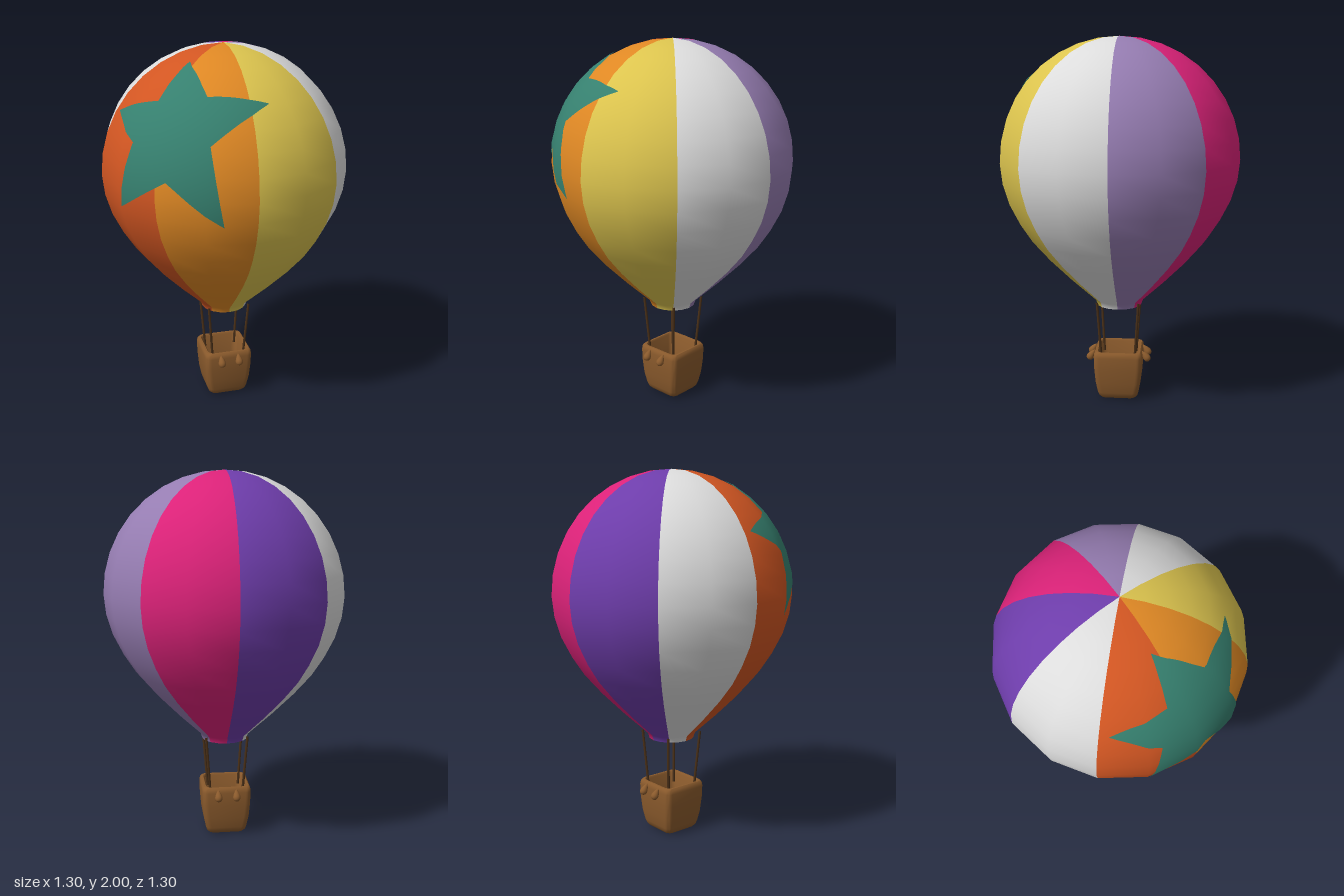
import * as THREE from 'three';
import { toCreasedNormals } from 'three/addons/utils/BufferGeometryUtils.js';

const V2 = (x, y) => new THREE.Vector2(x, y);
const mat = (name, color, side = THREE.FrontSide) => {
  const m = new THREE.MeshStandardMaterial({ color, side });
  m.name = name;
  return m;
};

const R = 0.65, CY = 1.35, SIDES = 16;

// Envelope profile: tapered lower part, then a hemisphere
const profile = [[0.125, 0.535], [0.135, 0.565], [0.27, 0.69], [0.39, 0.81], [0.485, 0.92],
  [0.55, 1.02], [0.605, 1.13], [0.638, 1.24]].map(([r, y]) => V2(r, y));
for (let i = 0; i <= 9; i++) {
  const a = (i / 9) * Math.PI / 2;
  profile.push(V2(i === 9 ? 0 : R * Math.cos(a), CY + R * Math.sin(a)));
}

// Envelope radius at height y and angle phi, allowing for its flat facets
function radiusAt(y, phi) {
  let k = 0;
  while (k < profile.length - 2 && profile[k + 1].y < y) k++;
  const p = profile[k], q = profile[k + 1];
  const r = p.x + (q.x - p.x) * (y - p.y) / (q.y - p.y);
  const step = 2 * Math.PI / SIDES;
  const local = ((phi % step) + step) % step - step / 2;
  return r * Math.cos(step / 2) / Math.cos(local);
}

// Star patch: a fan of triangles laid over the envelope
function starGeometry() {
  const outline = [[-0.22, 1.935], [-0.19, 1.81], [0.095, 1.775], [-0.21, 1.61], [-0.16, 1.23],
    [-0.415, 1.435], [-0.59, 1.26], [-0.53, 1.585], [-0.552, 1.69], [-0.40, 1.775]];
  const dirs = outline.map(([x, y]) => new THREE.Vector3(x, y - CY,
    Math.sqrt(Math.max(0.0009, R * R - x * x - (y - CY) ** 2))).normalize());
  const centre = new THREE.Vector3();
  dirs.forEach((d) => centre.add(d));
  centre.normalize();
  const pos = [], nor = [], N = 16;
  const add = (a, b, i, j) => {
    const d = centre.clone().multiplyScalar(N - i - j)
      .addScaledVector(a, i).addScaledVector(b, j).normalize();
    const phi = Math.atan2(d.x, d.z), y = CY + R * d.y, r = radiusAt(y, phi);
    pos.push(r * Math.sin(phi) + d.x * 0.005, y + d.y * 0.005, r * Math.cos(phi) + d.z * 0.005);
    nor.push(d.x, d.y, d.z);
  };
  dirs.forEach((a, k) => {
    const b = dirs[(k + 1) % dirs.length];
    // outline runs clockwise seen from outside, so b comes before a
    for (let i = 0; i < N; i++) for (let j = 0; i + j < N; j++) {
      add(b, a, i, j); add(b, a, i + 1, j); add(b, a, i, j + 1);
      if (i + j < N - 1) { add(b, a, i + 1, j); add(b, a, i + 1, j + 1); add(b, a, i, j + 1); }
    }
  });
  const g = new THREE.BufferGeometry();
  g.setAttribute('position', new THREE.Float32BufferAttribute(pos, 3));
  g.setAttribute('normal', new THREE.Float32BufferAttribute(nor, 3));
  return g;
}

// Basket: rounded-square loops up the outside, over the rim and down the inside
function basketGeometry() {
  const loops = [[0, 0], [0.08, 0], [0.098, 0.006], [0.109, 0.02], [0.115, 0.04], [0.126, 0.1],
    [0.133, 0.18], [0.135, 0.25], [0.132, 0.27], [0.124, 0.28], [0.114, 0.28], [0.108, 0.27],
    [0.1, 0.06], [0, 0.06]];
  const pos = [], index = [], arc = 5, n = 4 * (arc + 1);
  loops.forEach(([h, y]) => {
    const c = Math.min(0.032, h * 0.4);
    for (let q = 0; q < 4; q++) for (let s = 0; s <= arc; s++) {
      const a = (q + s / arc) * Math.PI / 2, m = (q + 0.5) * Math.PI / 2;
      pos.push(Math.sign(Math.cos(m)) * (h - c) + c * Math.cos(a), y,
        Math.sign(Math.sin(m)) * (h - c) + c * Math.sin(a));
    }
  });
  for (let j = 0; j < loops.length - 1; j++) for (let i = 0; i < n; i++) {
    const a = j * n + i, b = j * n + (i + 1) % n;
    if (j > 0) index.push(a, a + n, b);
    if (j < loops.length - 2) index.push(b, a + n, b + n);
  }
  const g = new THREE.BufferGeometry();
  g.setAttribute('position', new THREE.Float32BufferAttribute(pos, 3));
  g.setIndex(index);
  return toCreasedNormals(g, 0.8);
}

export function createModel() {
  const model = new THREE.Group();
  model.name = 'hotAirBalloon';
  const add = (name, geometry, material, parent = model) => {
    const mesh = new THREE.Mesh(geometry, material);
    mesh.name = name;
    parent.add(mesh);
    return mesh;
  };

  // Envelope: eight coloured gores, starting at the front and going round by +x
  const D = THREE.DoubleSide;
  const white = mat('white', 0xdcdcdc, D);
  const gores = [mat('yellow', 0xdcc44e, D), white, mat('mauve', 0x967db2, D), mat('pink', 0xdc2279, D),
    mat('purple', 0x6e3dab, D), white, mat('redOrange', 0xd25622, D), mat('orange', 0xdf8824, D)];
  const envelope = new THREE.Group();
  envelope.name = 'envelope';
  model.add(envelope);
  gores.forEach((m, i) => add('gore' + (i + 1),
    new THREE.LatheGeometry(profile, SIDES / 8, i * Math.PI / 4, Math.PI / 4), m, envelope));
  add('starPatch', starGeometry(), mat('teal', 0x36806f, D), envelope);

  // Basket
  const brown = mat('basketBrown', 0x8a5a2c);
  add('basket', basketGeometry(), brown);

  // Sandbags on the front and back of the basket
  const bag = new THREE.LatheGeometry(new THREE.SplineCurve([V2(0, -0.034), V2(0.014, -0.029),
    V2(0.021, -0.013), V2(0.016, 0.008), V2(0.008, 0.024), V2(0, 0.036)]).getPoints(14)
    .map((p) => V2(Math.max(0, p.x), p.y)), 14);
  for (const side of [0, Math.PI]) {
    const pair = new THREE.Group();
    pair.name = side ? 'backSandbags' : 'frontSandbags';
    pair.rotation.y = side;
    model.add(pair);
    for (const x of [-0.05, 0.05]) {
      const b = add('sandbag', bag, brown, pair);
      b.position.set(x, 0.243, 0.153);
      b.rotation.x = -0.6;
    }
  }

  // Ropes from the basket corners to the mouth of the envelope
  const dark = mat('ropeBrown', 0x4a3018);
  for (const x of [-1, 1]) for (const z of [-1, 1]) {
    const path = new THREE.LineCurve3(new THREE.Vector3(x * 0.088, 0.22, z * 0.092),
      new THREE.Vector3(x * 0.114, 0.57, z * 0.114));
    add('rope', new THREE.TubeGeometry(path, 1, 0.007, 8), dark);
  }
  return model;
}
